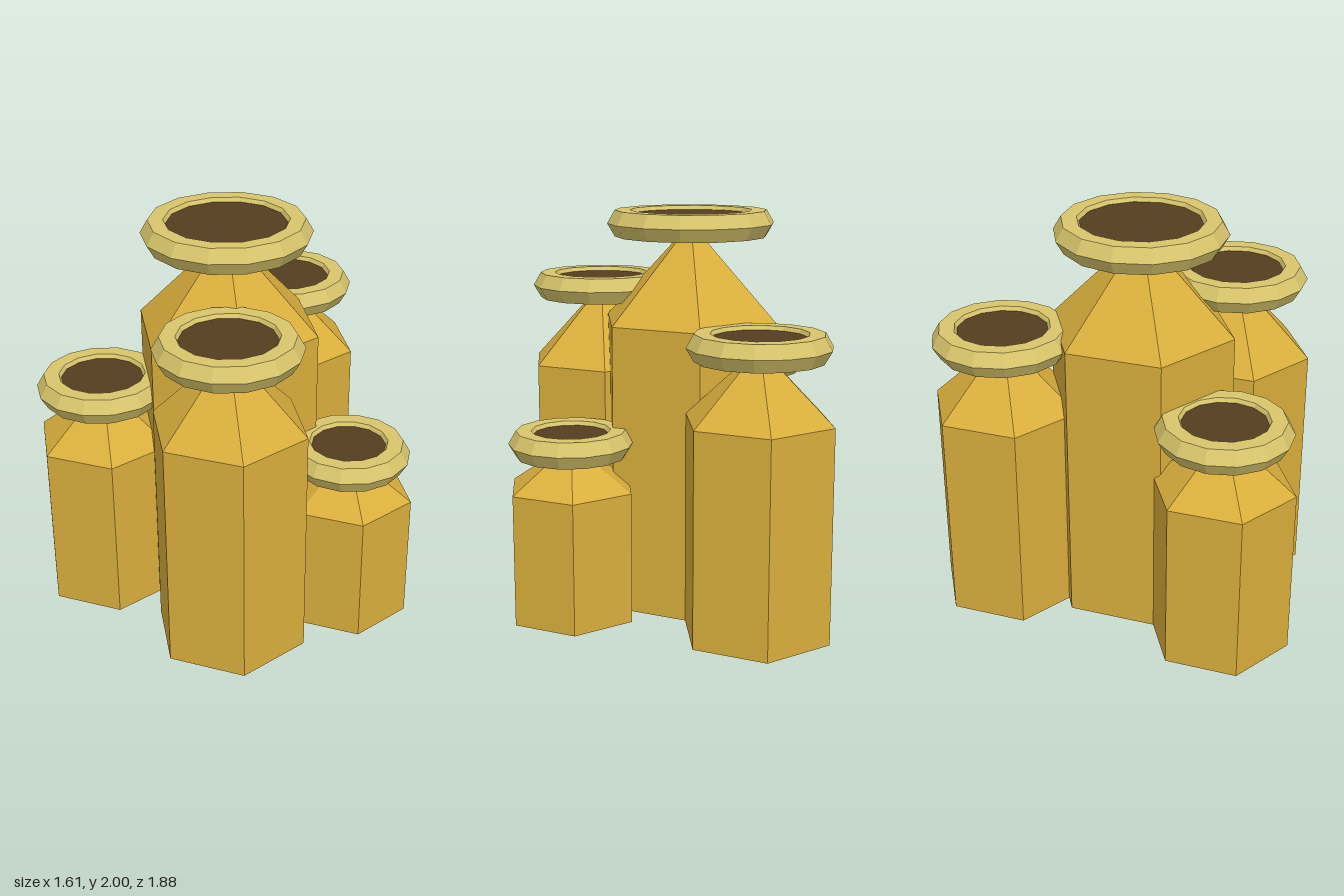
import * as THREE from 'three';

const flat = (color, name) => {
  const m = new THREE.MeshStandardMaterial({ color, flatShading: true });
  m.name = name;
  return m;
};

const TUBE = 0.075; // rim thickness, the same on every column

// x, z, hexagon radius, shaft height, rim height, rim outer radius
const COLUMNS = [
  ['centre', -0.125, 0.055, 0.472, 1.45, 1.935, 0.418],
  ['frontLeft', 0.313, 0.408, 0.39, 1.19, 1.588, 0.355],
  ['frontRight', -0.477, 0.583, 0.356, 0.86, 1.145, 0.329],
  ['backRight', -0.388, -0.562, 0.378, 1.06, 1.41, 0.347],
  ['backLeft', 0.491, -0.21, 0.332, 0.66, 0.883, 0.308],
];

export function createModel() {
  const gold = flat(0xd9ae3c, 'gold');
  const paleGold = flat(0xd8c56b, 'paleGold');
  const darkBrown = flat(0x553d20, 'darkBrown');
  const model = new THREE.Group();
  model.name = 'columnCluster';

  for (const [name, x, z, radius, shaftTop, rimY, rimRadius] of COLUMNS) {
    const column = new THREE.Group();
    column.name = name + 'Column';
    column.position.set(x, 0, z);
    const add = (part, geometry, material, y) => {
      const mesh = new THREE.Mesh(geometry, material);
      mesh.name = part;
      mesh.position.y = y;
      column.add(mesh);
    };

    // Hexagonal shaft and its pointed shoulder
    add('shaft', new THREE.CylinderGeometry(radius, radius, shaftTop, 6), gold, shaftTop / 2);
    const rise = rimY - shaftTop;
    add('shoulder', new THREE.ConeGeometry(radius, rise, 6, 1, true), gold, shaftTop + rise / 2);

    // Faceted rim around a dark mouth
    const ringRadius = rimRadius - TUBE;
    add('rim', new THREE.TorusGeometry(ringRadius, TUBE, 6, 14).rotateX(Math.PI / 2), paleGold, rimY);
    add('mouth', new THREE.CylinderGeometry(ringRadius, ringRadius, 0.09, 14), darkBrown, rimY);
    model.add(column);
  }
  return model;
}
